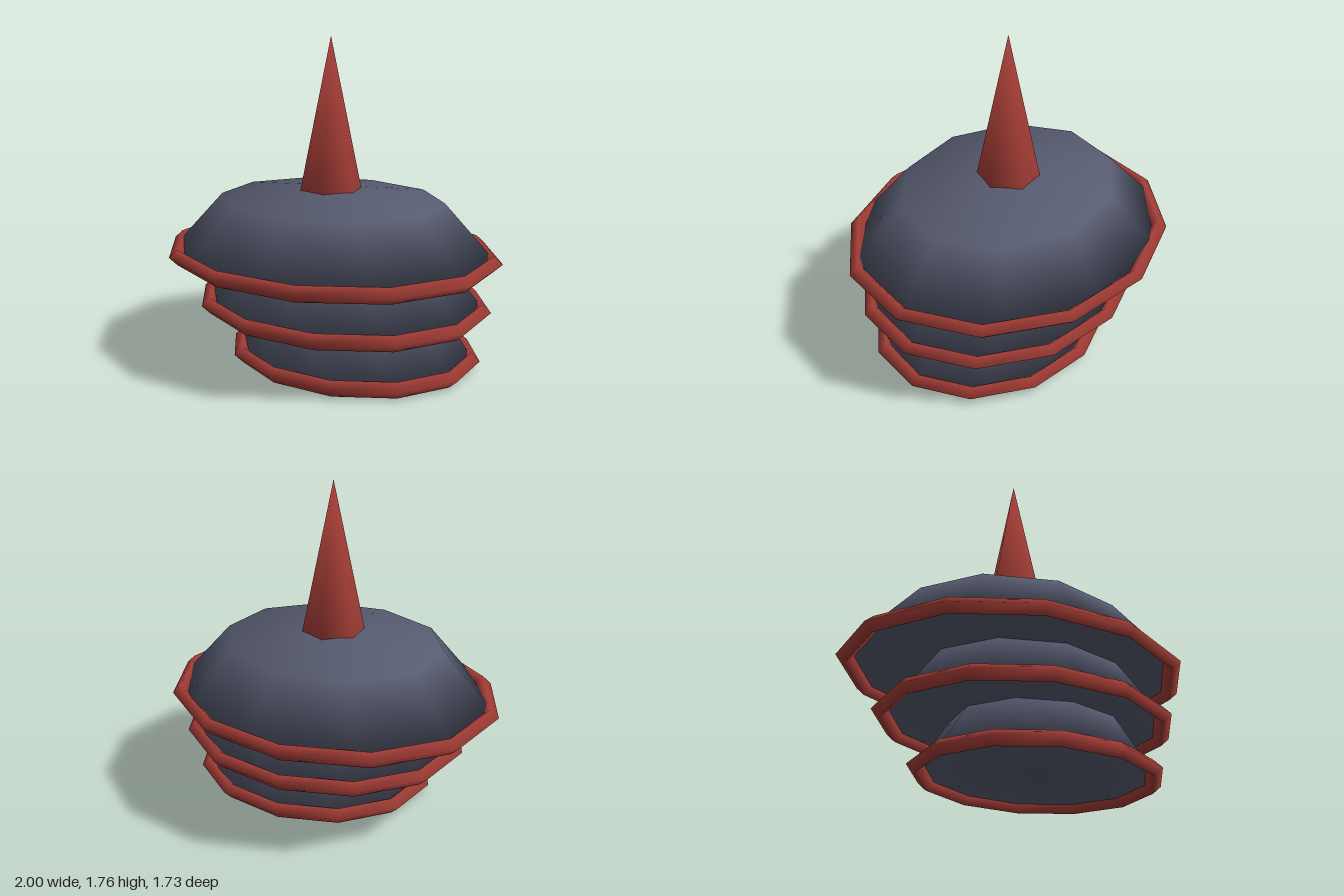
import * as THREE from 'three';
import { mergeVertices } from 'three/addons/utils/BufferGeometryUtils.js';

const DEPTH = 0.866; // tiers are narrower front to back

// Weld a geometry so that its shading runs smoothly over every edge
function weld(geometry) {
  geometry.deleteAttribute('normal');
  geometry.deleteAttribute('uv');
  const welded = mergeVertices(geometry, 1e-4);
  welded.computeVertexNormals();
  return welded;
}

export function createModel() {
  const model = new THREE.Group();
  model.name = 'tieredSpire';

  const slate = new THREE.MeshStandardMaterial({ color: 0x575b70 });
  slate.name = 'slate';
  const red = new THREE.MeshStandardMaterial({ color: 0xa83e37 });
  red.name = 'red';

  function addPart(parent, name, geometry, material) {
    const part = new THREE.Mesh(weld(geometry), material);
    part.name = name;
    parent.add(part);
    return part;
  }

  // One tier: a solid ten-sided shade with flat underside and shallow cap, and a rim round its lip
  function addTier(name, radius, x, y) {
    const tier = new THREE.Group();
    tier.name = name;

    const profile = [
      [0, 0],
      [radius, 0],
      [radius * 0.7, 0.298],
      [0, 0.372],
    ].map(([r, h]) => new THREE.Vector2(r, h));
    const shade = new THREE.LatheGeometry(profile, 10).rotateY(Math.PI / 2).scale(1, 1, DEPTH);
    addPart(tier, name + 'Shade', shade, slate);

    // diamond-section rim, slightly flattened
    const rim = new THREE.TorusGeometry(radius, 0.05, 4, 12).rotateX(Math.PI / 2).scale(1, 0.866, DEPTH);
    addPart(tier, name + 'Rim', rim, red);

    tier.position.set(x, y, 0);
    model.add(tier);
  }

  // Lower tiers are smaller and step sideways
  addTier('bottomTier', 0.688, 0.177, 0.0435);
  addTier('middleTier', 0.818, 0.088, 0.309);
  addTier('topTier', 0.95, 0, 0.572);

  // Six-sided spike on the cap
  const cone = new THREE.ConeGeometry(0.175, 0.845, 6).rotateY(Math.PI / 2);
  addPart(model, 'spike', cone, red).position.y = 0.92 + 0.845 / 2;

  return model;
}
